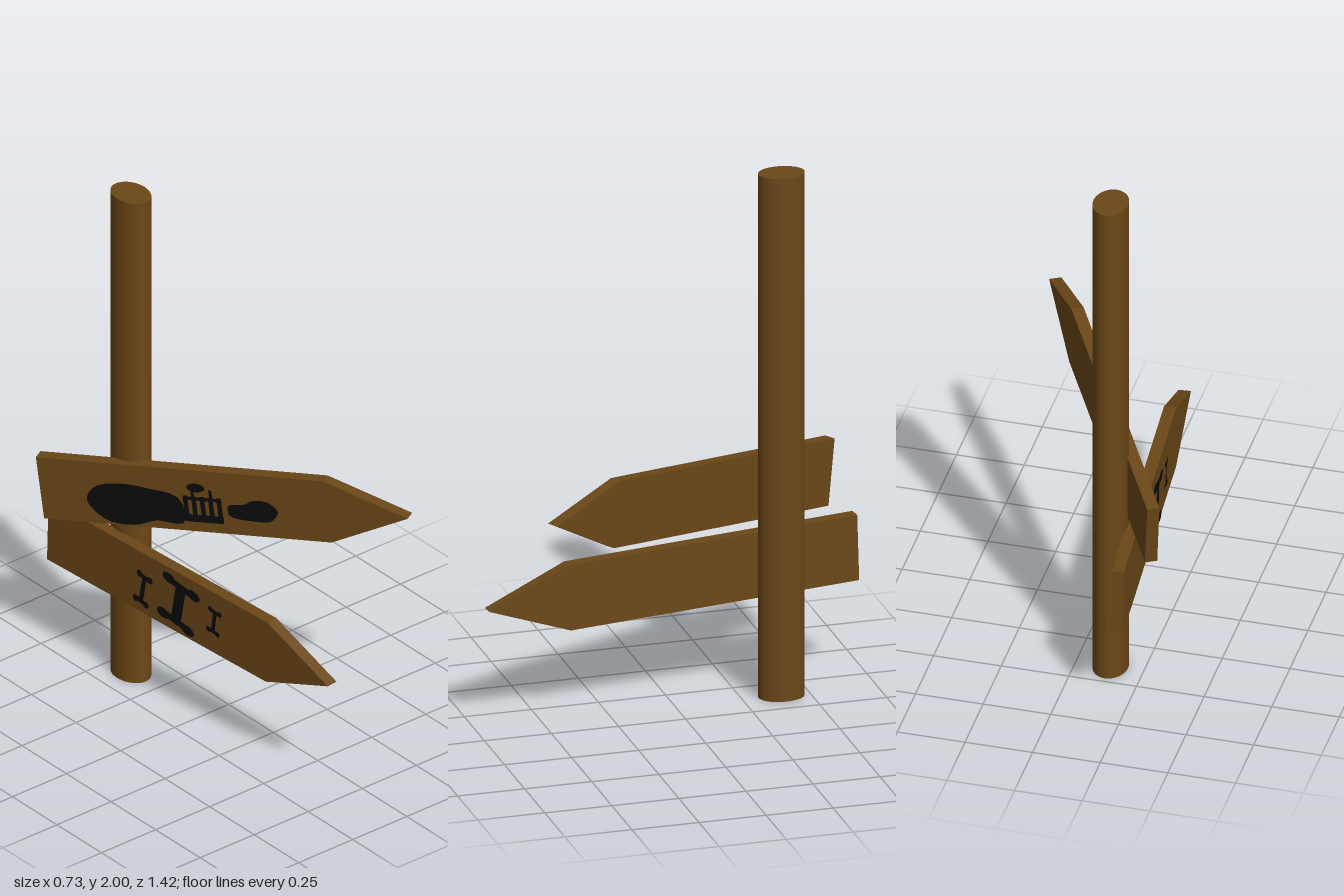
import * as THREE from 'three';

const wood = new THREE.MeshStandardMaterial({ color: 0x6b4718 });
const paint = new THREE.MeshStandardMaterial({ color: 0x0b0b0b, side: THREE.DoubleSide });

const THICK = 0.045, HALF = 0.125, BODY = 1.11, LENGTH = 1.42;

function polygon(points) {
  return new THREE.Shape(points.map(([x, y]) => new THREE.Vector2(x, y)));
}

function disc(x, y, rx, ry = rx) {
  const s = new THREE.Shape();
  s.absellipse(x, y, rx, ry, 0, Math.PI * 2);
  return s;
}

function bar(x, y, w, h) {
  return polygon([[x - w / 2, y - h / 2], [x + w / 2, y - h / 2], [x + w / 2, y + h / 2], [x - w / 2, y + h / 2]]);
}

// Closed smooth outline through a few points
function blob(points) {
  const curve = new THREE.CatmullRomCurve3(points.map(([x, y]) => new THREE.Vector3(x, y, 0)), true);
  return new THREE.Shape(curve.getPoints(32).slice(0, -1).map(p => new THREE.Vector2(p.x, p.y)));
}

// Painted silhouette lying just off the board's face
function addPainting(board, name, shapes, x = 0, y = 0, tilt = 0) {
  const mesh = new THREE.Mesh(new THREE.ShapeGeometry(shapes, 10), paint);
  mesh.name = name;
  mesh.position.set(x, y, THICK / 2 + 0.008);
  mesh.rotation.z = tilt;
  board.add(mesh);
}

// Shaft with a pair of knobs at each end
function boneShapes(w, h) {
  const shapes = [bar(0, 0, w * 0.26, h * 0.85)];
  for (const end of [-1, 1]) {
    shapes.push(bar(0, end * h * 0.38, w * 0.6, h * 0.14));
    for (const side of [-1, 1]) {
      shapes.push(disc(side * w * 0.33, end * h * 0.4, w * 0.17, h * 0.1));
    }
  }
  return shapes;
}

// Pointed board running from the middle of its blunt end to its tip
function signBoard(name, start, tip) {
  const board = new THREE.Group();
  board.name = name;
  const d = tip.clone().sub(start);
  board.position.copy(start);
  board.rotation.set(0, -Math.atan2(d.z, d.x), Math.atan2(d.y, Math.hypot(d.x, d.z)));
  const outline = polygon([[0, -HALF], [BODY, -HALF], [LENGTH, 0], [BODY, HALF], [0, HALF]]);
  const geometry = new THREE.ExtrudeGeometry(outline, { depth: THICK, bevelEnabled: false });
  geometry.translate(0, 0, -THICK / 2);
  const plank = new THREE.Mesh(geometry, wood);
  plank.name = name + 'Plank';
  board.add(plank);
  return board;
}

export function createModel() {
  const model = new THREE.Group();
  model.name = 'signpost';

  // Oval post
  const post = new THREE.Mesh(new THREE.CylinderGeometry(1, 1, 2, 40), wood);
  post.name = 'post';
  post.scale.set(0.064, 1, 0.085);
  post.position.set(-0.127, 1, -0.395);
  model.add(post);

  // Upper board with food and basket silhouettes
  const upper = signBoard('upperSign',
    new THREE.Vector3(-0.343, 0.755, -0.63), new THREE.Vector3(0.345, 0.935, 0.6));
  addPainting(upper, 'largeSilhouette', [blob([
    [0.18, -0.03], [0.22, 0.03], [0.32, 0.05], [0.42, 0.04], [0.54, 0.01],
    [0.55, -0.09], [0.44, -0.09], [0.36, -0.115], [0.25, -0.105]])]);
  const basket = [bar(0, 0.025, 0.15, 0.014), bar(0, -0.055, 0.15, 0.03), disc(-0.02, 0.07, 0.035, 0.018)];
  for (let i = 0; i < 5; i++) basket.push(bar(-0.065 + i * 0.0325, -0.015, 0.018, 0.1));
  for (const side of [-1, 1]) basket.push(bar(side * 0.035, 0.045, 0.012, 0.04));
  addPainting(upper, 'basketSilhouette', basket, 0.63, -0.012);
  addPainting(upper, 'smallSilhouette', [blob([
    [0.73, -0.045], [0.73, -0.005], [0.79, 0.005], [0.83, 0.025], [0.89, 0.02],
    [0.92, -0.015], [0.89, -0.055], [0.82, -0.06]])]);
  model.add(upper);

  // Lower board with three bones
  const lower = signBoard('lowerSign',
    new THREE.Vector3(-0.235, 0.5, -0.705), new THREE.Vector3(-0.105, 0.457, 0.706));
  addPainting(lower, 'leftBone', boneShapes(0.08, 0.14), 0.49, -0.02, -0.15);
  addPainting(lower, 'middleBone', boneShapes(0.19, 0.2), 0.67, 0, -0.15);
  addPainting(lower, 'rightBone', boneShapes(0.07, 0.11), 0.85, 0.01, -0.1);
  model.add(lower);

  return model;
}
